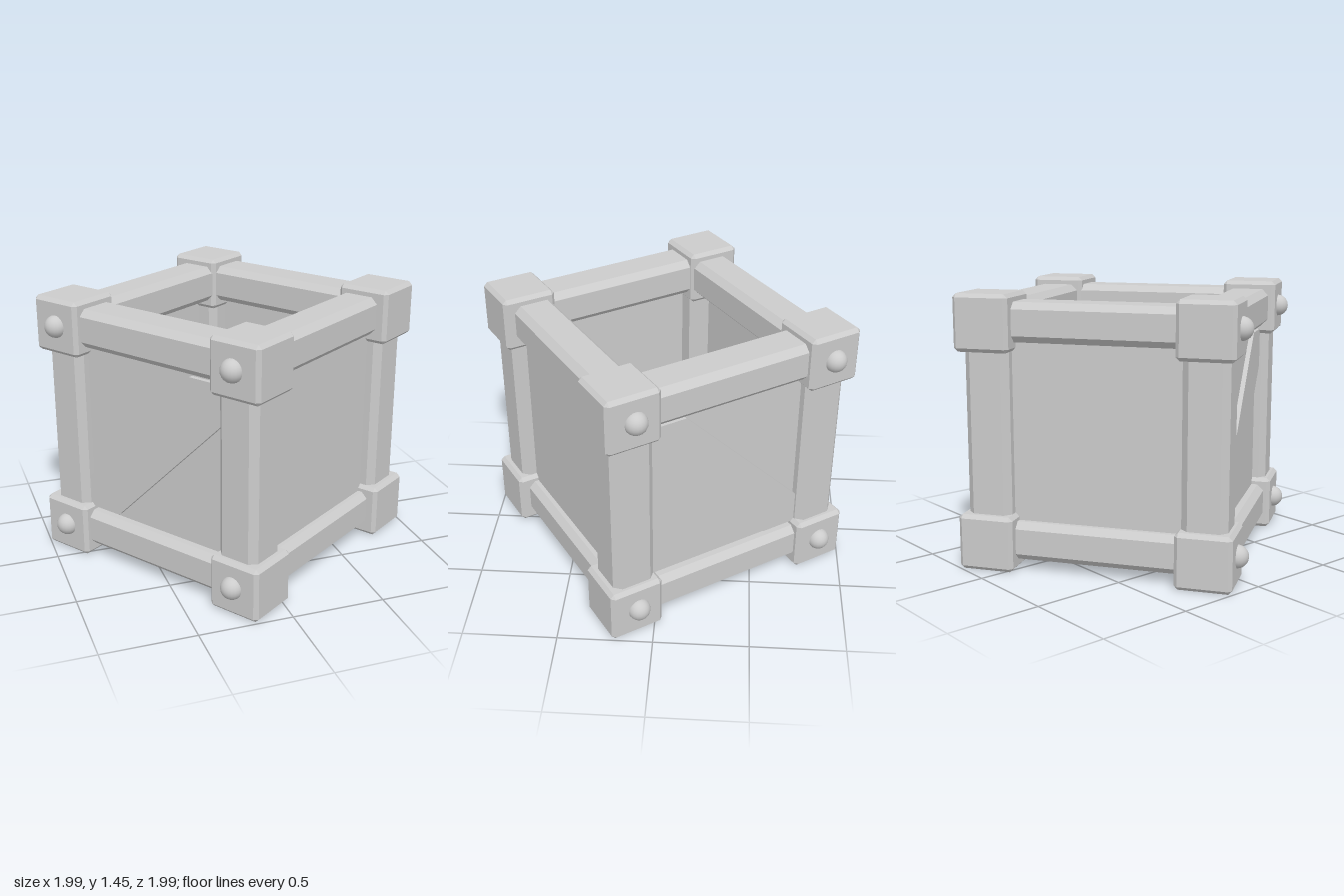
import * as THREE from 'three';
import { ConvexGeometry } from 'three/addons/geometries/ConvexGeometry.js';

const S = 0.727;          // half width of the crate
const H = 1.45;           // height
const B = 0.297;          // corner block size
const C = S - B / 2;      // corner block centre
const mat = new THREE.MeshStandardMaterial({ color: 0xcccccc, flatShading: true });
const smooth = new THREE.MeshStandardMaterial({ color: 0xcccccc });

// Box with flat chamfers of width c on every edge
function chamferBox(w, h, d, c) {
  const half = [w / 2, h / 2, d / 2], pts = [];
  for (let axis = 0; axis < 3; axis++)
    for (const i of [-1, 1]) for (const j of [-1, 1]) for (const k of [-1, 1]) {
      const p = [i, j, k].map((s, n) => s * (n === axis ? half[n] : half[n] - c));
      pts.push(new THREE.Vector3(...p));
    }
  return new ConvexGeometry(pts);
}

export function createModel() {
  const model = new THREE.Group();
  model.name = 'crate';
  const crate = new THREE.Group();
  crate.name = 'crateBody';
  crate.rotation.y = Math.atan2(0.8, 1.2);
  model.add(crate);

  const add = (name, geo, x, y, z, material = mat) => {
    const m = new THREE.Mesh(geo, material);
    m.name = name;
    m.position.set(x, y, z);
    crate.add(m);
    return m;
  };

  const block = chamferBox(B, B, B, 0.02);
  const post = chamferBox(0.24, 1.2, 0.235, 0.037);
  const beamX = chamferBox(1.14, 0.205, 0.225, 0.035);
  const beamZ = chamferBox(0.235, 0.205, 1.14, 0.035);
  const bolt = new THREE.SphereGeometry(0.06, 20, 12);
  const levels = [B / 2 + 0.005, H - B / 2];

  // Corner posts, blocks and bolts
  for (const sx of [-1, 1]) for (const sz of [-1, 1]) {
    add('cornerPost', post, sx * 0.572, H / 2, sz * 0.567);
    for (const y of levels) {
      add('cornerBlock', block, sx * C, y < 1 ? B / 2 : y, sz * C);
      add('bolt', bolt, sx * (S - 0.003), y + 0.003, sz * 0.573, smooth);
    }
  }

  // Horizontal beams, bottom and top
  for (const s of [-1, 1]) for (const y of levels) {
    add('crossBeam', beamX, 0, y + 0.003, s * 0.557);
    add('sideBeam', beamZ, s * 0.573, y + 0.003, 0);
  }

  // Four walls and a floor; the top is open
  for (const s of [-1, 1]) {
    add('sideWall', new THREE.BoxGeometry(0.05, 1.2, 1.14), s * 0.595, H / 2, 0);
    add('endWall', new THREE.BoxGeometry(1.14, 1.2, 0.05), 0, H / 2, s * 0.585);
  }
  add('floor', new THREE.BoxGeometry(1.14, 0.06, 1.14), 0, 0.13, 0);

  // Diagonal braces on the two bolted sides, outline drawn in (z, y)
  const outline = [[-0.45, 0.28], [-0.25, 0.28], [0.46, 0.98], [0.46, 1.18], [0.25, 1.18], [-0.45, 0.46]];
  const shape = new THREE.Shape(outline.map(([z, y]) => new THREE.Vector2(-z, y)));
  const brace = new THREE.ExtrudeGeometry(shape, { depth: 0.03, bevelEnabled: false });
  brace.rotateY(Math.PI / 2); // shape x becomes -z, depth becomes +x
  for (const s of [-1, 1]) add('diagonalBrace', brace, s * 0.63 - 0.015, 0, 0);

  return model;
}
